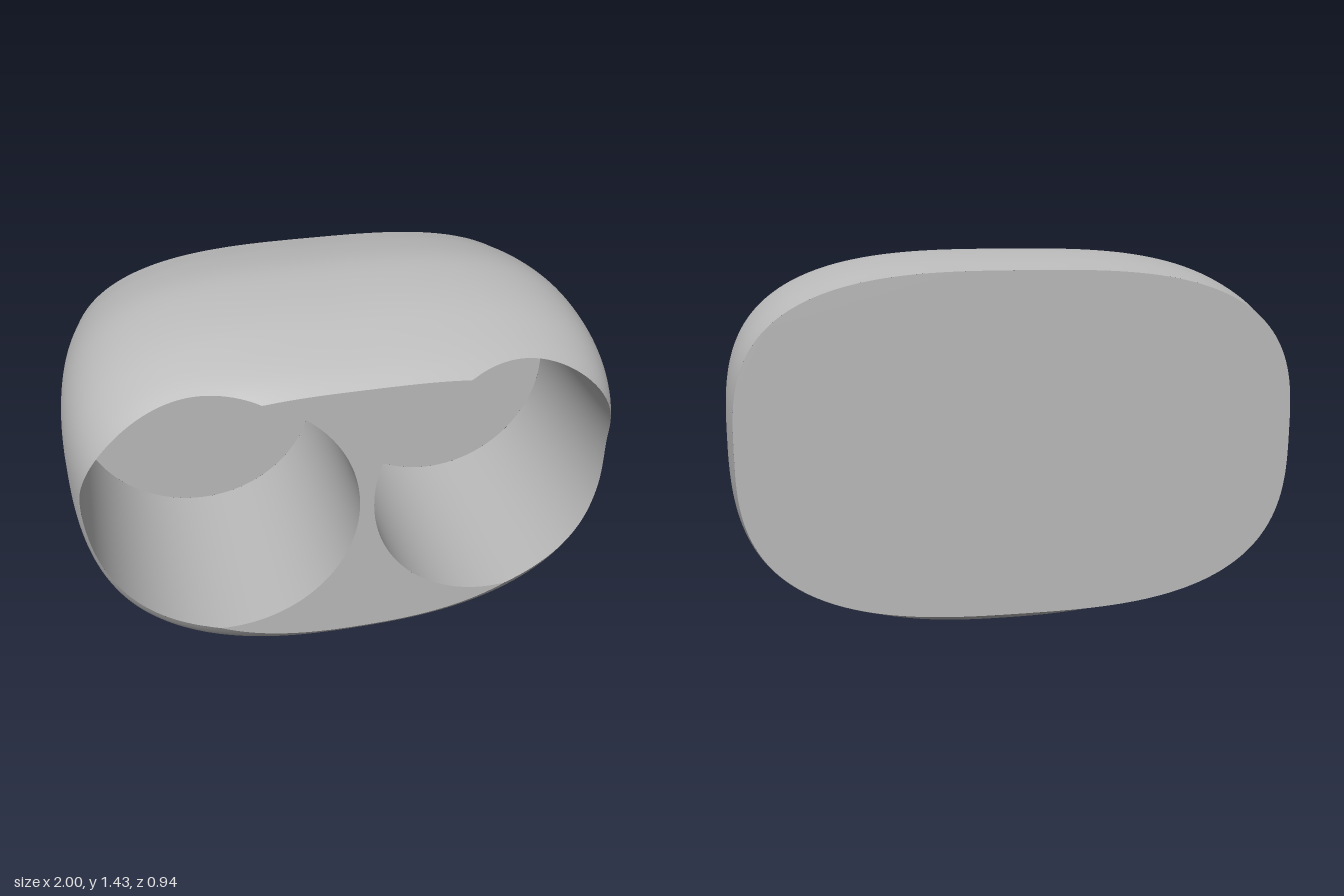
import * as THREE from 'three';

const FRONT = 0.47, BACK = -0.47, MID = 0.8;
const BORE_R = 0.466, BORE_Y = 0.795, BORE_FLOOR = -0.33;
const BORE_X = [-0.495, 0.487];

// Hull stations along z: half width, top y, bottom y
const stations = [
  [-0.47, 0.955, 1.38, 0.19], [-0.3, 0.985, 1.415, 0.118], [-0.1, 1.0, 1.435, 0.03],
  [0.07, 0.998, 1.417, 0.003], [0.2, 0.982, 1.385, 0.03], [0.3, 0.957, 1.345, 0.078],
  [0.36, 0.932, 1.317, 0.122], [0.42, 0.885, 1.284, 0.178], [0.47, 0.8, 1.25, 0.232],
];
const profile = new THREE.CubicInterpolant(
  new Float32Array(stations.map(s => s[0])),
  new Float32Array(stations.flatMap(s => s.slice(1))), 3);

const bottomPower = z => 2.45 + 0.45 * THREE.MathUtils.smoothstep(-z, 0, 0.47);

// Superellipse section, squarer above than below
function section(t, z) {
  const [w, top, bottom] = profile.evaluate(z);
  const c = Math.cos(t), s = Math.sin(t);
  const p = 2 / (s >= 0 ? 3.05 : bottomPower(z));
  return [
    w * Math.sign(c) * Math.abs(c) ** p,
    MID + (s >= 0 ? top - MID : bottom - MID) * Math.abs(s) ** p,
  ];
}

function insideHull(x, y, z) {
  const [w, top, bottom] = profile.evaluate(z);
  const n = y >= MID ? 3.05 : bottomPower(z);
  const h = y >= MID ? top - MID : MID - bottom;
  return (Math.abs(x) / w) ** n + (Math.abs(y - MID) / h) ** n <= 1;
}

const insideBore = ([x, y]) =>
  BORE_X.some(cx => Math.hypot(x - cx, y - BORE_Y) < BORE_R);

const borePoint = (cx, t) =>
  [cx + BORE_R * Math.cos(t), BORE_Y + BORE_R * Math.sin(t)];

// Furthest z towards the front at which the test still holds
function lastZ(test) {
  if (test(FRONT)) return FRONT;
  let lo = -0.1, hi = FRONT;
  for (let i = 0; i < 30; i++) {
    const m = (lo + hi) / 2;
    if (test(m)) lo = m; else hi = m;
  }
  return lo;
}

// Closed tube along z whose front rim may vary round the loop
function tube(around, rows, z0, rim, point, inward) {
  const pos = [], index = [];
  for (let j = 0; j < around; j++) {
    const t = (j / around) * Math.PI * 2, z1 = rim(t);
    for (let k = 0; k <= rows; k++) {
      const z = z0 + (z1 - z0) * k / rows;
      pos.push(...point(t, z), z);
    }
  }
  for (let j = 0; j < around; j++) {
    for (let k = 0; k < rows; k++) {
      const a = j * (rows + 1) + k, b = ((j + 1) % around) * (rows + 1) + k;
      if (inward) index.push(a, b + 1, b, a, a + 1, b + 1);
      else index.push(a, b, b + 1, a, b + 1, a + 1);
    }
  }
  const g = new THREE.BufferGeometry();
  g.setAttribute('position', new THREE.Float32BufferAttribute(pos, 3));
  g.setIndex(index);
  g.computeVertexNormals();
  return g;
}

const flat = pts =>
  new THREE.ShapeGeometry(new THREE.Shape(pts.map(p => new THREE.Vector2(...p))));

const sweep = (from, to, n, f) =>
  Array.from({ length: n + 1 }, (_, i) => f(from + (to - from) * i / n));

export function createModel() {
  const model = new THREE.Group();
  const grey = new THREE.MeshStandardMaterial({ color: 0xbababa });
  grey.name = 'plain grey';
  const add = (name, geometry) => {
    const mesh = new THREE.Mesh(geometry, grey);
    mesh.name = name;
    model.add(mesh);
    return mesh;
  };
  const PI = Math.PI;

  // Rounded outer skin, trimmed where it runs into the bores
  add('outerShell', tube(480, 36, BACK,
    t => lastZ(z => !insideBore(section(t, z))), section, false));

  // Flat back
  const back = add('backFace', flat(sweep(0, 2 * PI, 240, t => section(t, BACK))));
  back.rotation.y = PI;
  back.position.z = BACK;

  // Flat front web between the two bores
  const edge = (from, to) =>
    sweep(from, to, 400, t => section(t, FRONT)).filter(p => !insideBore(p));
  const rimArc = (cx, from, to) =>
    sweep(from, to, 200, t => borePoint(cx, t)).filter(p => insideHull(...p, FRONT));
  const front = add('frontFace', flat([
    ...edge(PI, 0),
    ...rimArc(BORE_X[1], 0.2, 2 * PI - 0.2),
    ...edge(0, -PI),
    ...rimArc(BORE_X[0], -PI + 0.2, PI - 0.2),
  ]));
  front.position.z = FRONT;

  // Two round blind bores
  BORE_X.forEach((cx, i) => {
    const side = i ? 'left' : 'right';
    add(side + 'BoreWall', tube(240, 6, BORE_FLOOR,
      t => lastZ(z => insideHull(...borePoint(cx, t), z)),
      t => borePoint(cx, t), true));
    add(side + 'BoreFloor', new THREE.CircleGeometry(BORE_R, 120))
      .position.set(cx, BORE_Y, BORE_FLOOR);
  });

  return model;
}
